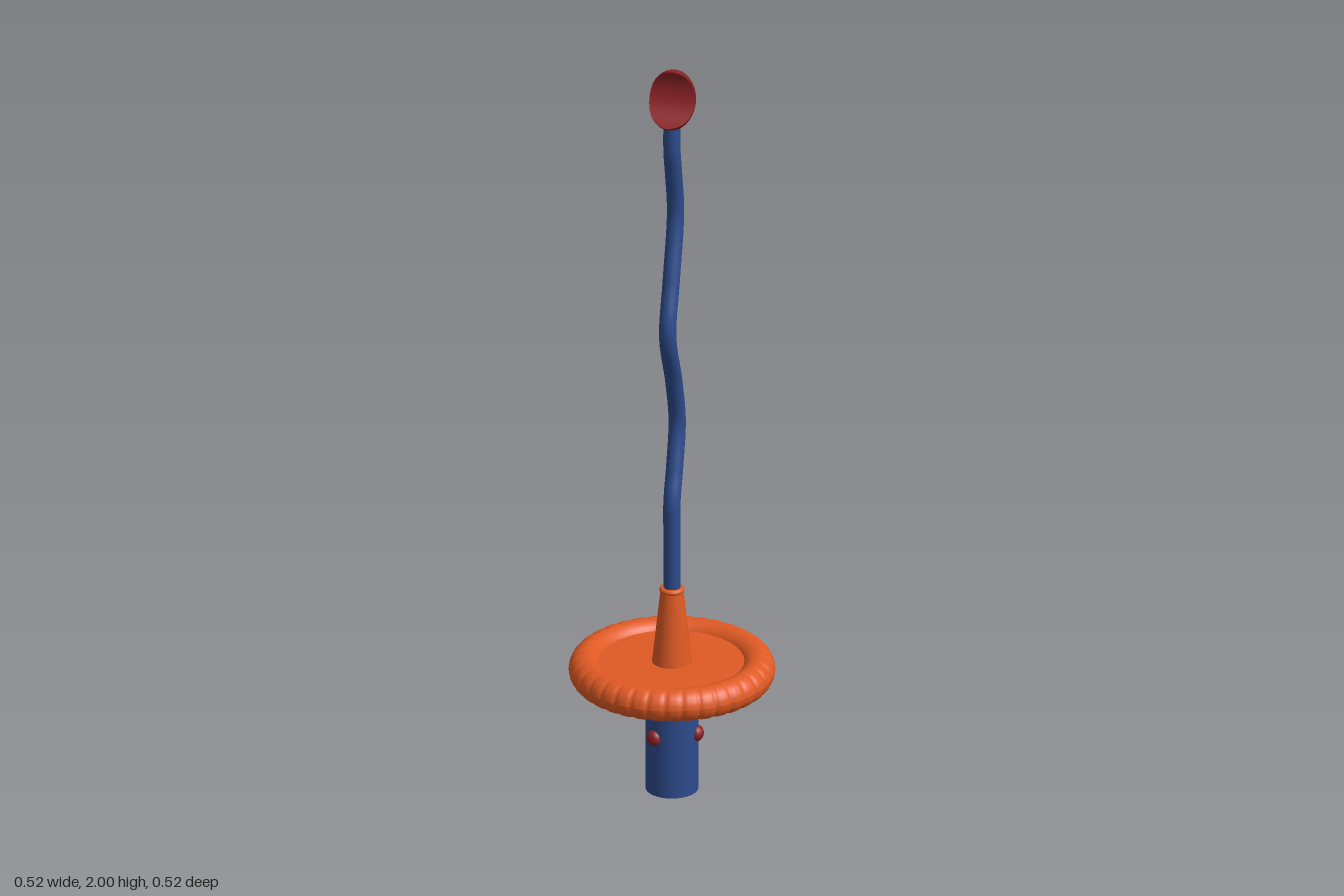
import * as THREE from 'three';
import { ParametricGeometry } from 'three/addons/geometries/ParametricGeometry.js';

export function createModel() {
  const blue = new THREE.MeshStandardMaterial({ name: 'blue', color: 0x2d4b8c });
  const orange = new THREE.MeshStandardMaterial({ name: 'orange', color: 0xe05a24 });
  const red = new THREE.MeshStandardMaterial({ name: 'dark red', color: 0x8a2226 });

  const model = new THREE.Group();
  model.name = 'wavyWand';
  const add = (name, geometry, material, parent = model) => {
    const mesh = new THREE.Mesh(geometry, material);
    mesh.name = name;
    parent.add(mesh);
    return mesh;
  };

  // Handle
  add('handle', new THREE.CylinderGeometry(0.067, 0.067, 0.31, 40), blue).position.y = 0.155;

  // Two rows of three flattened studs around the handle
  const studs = new THREE.Group();
  studs.name = 'studs';
  model.add(studs);
  for (const y of [0.16, 0.27]) {
    for (let i = 0; i < 3; i++) {
      const a = (i * Math.PI * 2) / 3;
      const stud = add('stud', new THREE.SphereGeometry(0.021, 20, 14), red, studs);
      stud.scale.x = 0.8;
      stud.rotation.y = -a;
      stud.position.set(0.066 * Math.cos(a), y, 0.066 * Math.sin(a));
    }
  }

  // Guard plate
  add('guardPlate', new THREE.CylinderGeometry(0.22, 0.22, 0.063, 72), orange).position.y = 0.3235;

  // Guard rim: a ring with 36 small grooves on its outer side
  const R = 0.22, r = 0.0425, grooves = 36;
  const rim = new THREE.TorusGeometry(R, r, 24, grooves * 8);
  rim.rotateX(Math.PI / 2);
  const p = rim.attributes.position;
  for (let i = 0; i < p.count; i++) {
    const x = p.getX(i), y = p.getY(i), z = p.getZ(i);
    const d = Math.hypot(x, z);
    const outer = Math.max(0, (d - R) / r);
    const wave = Math.pow(0.5 + 0.5 * Math.cos(grooves * Math.atan2(z, x)), 6);
    const k = 1 - 0.11 * wave * Math.sqrt(outer);
    const f = (R + (d - R) * k) / d;
    p.setXYZ(i, x * f, y * k, z * f);
  }
  rim.computeVertexNormals();
  add('guardRim', rim, orange).position.y = 0.333;

  // Tapered socket and its lip
  add('socket', new THREE.CylinderGeometry(0.029, 0.052, 0.21, 40), orange).position.y = 0.45;
  const lip = add('socketLip', new THREE.TorusGeometry(0.025, 0.0075, 12, 40), orange);
  lip.rotation.x = Math.PI / 2;
  lip.position.y = 0.555;

  // Wavy rod, bending only forwards and backwards
  const bends = [
    [0.5, 0], [0.7, 0], [0.8, 0], [0.88, -0.026], [1.0, -0.054], [1.13, -0.018],
    [1.285, 0.045], [1.42, 0.008], [1.59, -0.037], [1.71, -0.016], [1.78, 0], [1.87, 0],
  ];
  const path = new THREE.CatmullRomCurve3(bends.map(([y, z]) => new THREE.Vector3(0, y, z)));
  add('wavyRod', new THREE.TubeGeometry(path, 140, 0.022, 20), blue);

  // Tip: an ellipsoid with a cylindrical scoop taken out of the front
  const slice = (v) => {
    const s = Math.sin(Math.PI * v);
    const y = 1.922 - 0.078 * Math.cos(Math.PI * v);
    const a = 0.06 * s, c = 0.078 * s;
    const h = 0.095 ** 2 - (y - 1.955) ** 2;
    const zCut = h > 0 ? 0.085 - Math.sqrt(h) : 1;
    const t = Math.asin(THREE.MathUtils.clamp(zCut / Math.max(c, 1e-6), -1, 1));
    return { y, a, c, t };
  };
  const tip = new THREE.Group();
  tip.name = 'tip';
  model.add(tip);
  const shell = new ParametricGeometry((u, v, out) => {
    const { y, a, c, t } = slice(v);
    const angle = t - u * (Math.PI + 2 * t);
    out.set(a * Math.cos(angle), y, c * Math.sin(angle));
  }, 48, 64);
  const scoop = new ParametricGeometry((u, v, out) => {
    const { y, a, c, t } = slice(v);
    out.set(a * Math.cos(t) * (2 * u - 1), y, c * Math.sin(t));
  }, 12, 64);
  for (const g of [shell, scoop]) g.computeVertexNormals();
  add('tipShell', shell, red, tip);
  add('tipScoop', scoop, red, tip);

  return model;
}
